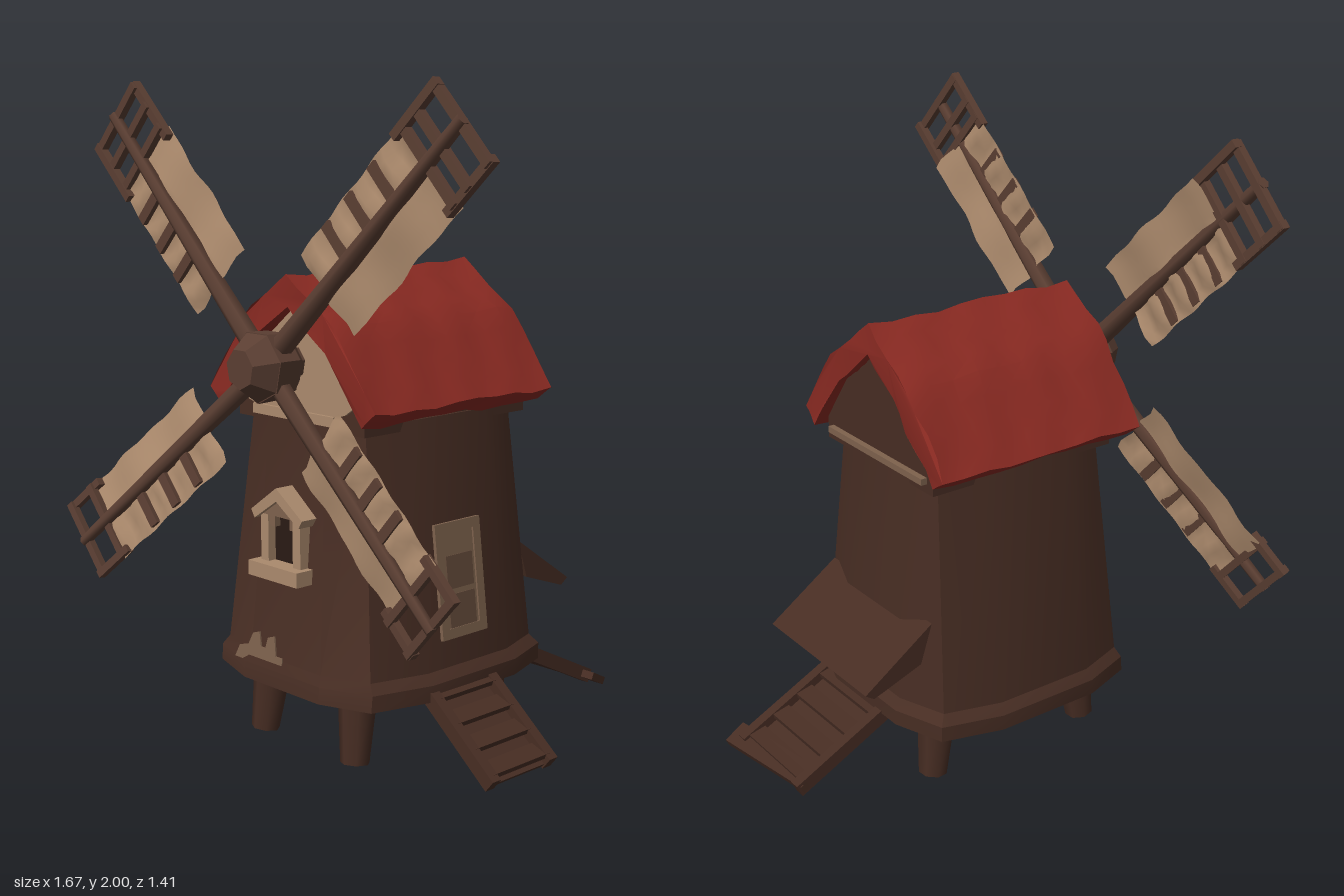
import * as THREE from 'three';
import { toCreasedNormals } from 'three/addons/utils/BufferGeometryUtils.js';

const paint = (name, color, extra = {}) => {
  const m = new THREE.MeshStandardMaterial({ color, ...extra });
  m.name = name;
  return m;
};

export function createModel() {
  const wood = paint('dark wood', 0x472d23);
  const beam = paint('beam wood', 0x5a3e32);
  const red = paint('red roof', 0x8a2a22);
  const cloth = paint('sail cloth', 0xae8c6e, { side: THREE.DoubleSide });
  const trim = paint('pale trim', 0xab8a6d);
  const worn = paint('weathered trim', 0x7e624d);
  const pane = paint('window pane', 0x644b3b);
  const dark = paint('dark opening', 0x2a1a14);

  const model = new THREE.Group();
  model.name = 'windmill';

  const add = (parent, name, geo, mat, x = 0, y = 0, z = 0) => {
    const m = new THREE.Mesh(geo, mat);
    m.name = name;
    m.position.set(x, y, z);
    parent.add(m);
    return m;
  };
  const group = (parent, name, x, y, z) => {
    const g = new THREE.Group();
    g.name = name;
    g.position.set(x, y, z);
    parent.add(g);
    return g;
  };
  const box = (w, h, d) => new THREE.BoxGeometry(w, h, d);
  const shapeOf = pts => new THREE.Shape(pts.map(p => new THREE.Vector2(...p)));
  const extrude = (pts, depth, steps = 1) =>
    new THREE.ExtrudeGeometry(shapeOf(pts), { depth, steps, bevelEnabled: false });
  const mirror = pts => [...pts, ...pts.filter(p => p[0] !== 0).reverse().map(([x, y]) => [-x, y])];

  // Body: rounded-square rings [y, half width, front z, back z]
  const rings = [[0.2, 0.36, 0.43, -0.32], [0.21, 0.4, 0.475, -0.365], [0.26, 0.4, 0.47, -0.365],
    [0.29, 0.375, 0.455, -0.34], [1.03, 0.29, 0.395, -0.3]];
  const quarter = [[1, 0.4], [0.86, 0.86], [0.45, 1]];
  const outline = [0, 1, 2, 3].flatMap(q => quarter.map(([a, b]) =>
    [[a, b], [-b, a], [-a, -b], [b, -a]][q]));
  const n = outline.length, pos = [], idx = [];
  for (const [y, hx, zf, zb] of rings)
    for (const [a, b] of outline) pos.push(a * hx, y, (zf + zb) / 2 + b * (zf - zb) / 2);
  const top = (rings.length - 1) * n;
  for (let i = 0; i < n; i++) {
    const j = (i + 1) % n;
    for (let r = 0; r < top; r += n)
      idx.push(r + i, r + n + i, r + j, r + j, r + n + i, r + n + j);
    if (i > 0 && i < n - 1) idx.push(0, i, j, top, top + j, top + i);
  }
  const bodyGeo = new THREE.BufferGeometry();
  bodyGeo.setAttribute('position', new THREE.Float32BufferAttribute(pos, 3));
  bodyGeo.setIndex(idx);
  add(model, 'body', toCreasedNormals(bodyGeo, 0.5), wood);

  // Gable walls under the roof, with a pale face at the front
  const gable = mirror([[0.28, 1.0], [0.28, 1.07], [0.165, 1.23], [0, 1.36]]);
  add(model, 'gable', extrude(gable, 0.67), wood, 0, 0, -0.29);
  const face = mirror([[0.12, 1.03], [0.22, 1.06], [0.265, 1.09], [0.16, 1.225], [0, 1.35]]);
  add(model, 'gableFace', extrude(face, 0.008), trim, 0, 0, 0.391);
  add(model, 'gableSill', box(0.36, 0.03, 0.03), trim, 0, 1.035, 0.395);
  add(model, 'backSill', box(0.5, 0.02, 0.02), worn, 0, 1.04, -0.3);

  // Roof: bent slab with gentle dents
  const outer = [[0.375, 1.08], [0.2, 1.31], [0, 1.45]];
  const inner = [[0, 1.355], [0.165, 1.235], [0.31, 1.035]];
  const slab = [...outer, ...outer.slice(0, 2).reverse().map(([x, y]) => [-x, y]),
    ...[...inner].reverse().map(([x, y]) => [-x, y]), ...inner.slice(1)];
  const dense = slab.flatMap((p, i) => {
    const q = slab[(i + 1) % slab.length];
    return [0, 0.25, 0.5, 0.75].map(t => [p[0] + (q[0] - p[0]) * t, p[1] + (q[1] - p[1]) * t]);
  });
  const roofGeo = extrude(dense, 0.745, 9);
  roofGeo.translate(0, 0, -0.32);
  const rp = roofGeo.attributes.position;
  for (let i = 0; i < rp.count; i++) {
    const x = rp.getX(i), y = rp.getY(i), z = rp.getZ(i);
    const dent = 0.008 * Math.sin(21 * x + 13 * z) + 0.007 * Math.sin(31 * z - 17 * x);
    rp.setXYZ(i, x + Math.sign(x) * dent * 0.5, y + dent * 0.7, z + 0.007 * Math.sin(29 * x + 9 * y));
  }
  add(model, 'roof', toCreasedNormals(roofGeo, 0.5), red);

  // Splayed legs
  for (const sx of [-1, 1]) for (const [z, lean] of [[0.34, 1], [-0.23, -1]]) {
    const leg = add(model, 'leg', new THREE.CylinderGeometry(0.065, 0.045, 0.25, 7), wood, sx * 0.2, 0.13, z);
    leg.rotation.set(-lean * 0.12, 0, sx * 0.06);
  }

  // Sloping step ladders at the side and the back
  const ladder = (name, x, y, z, length, width, slope, turn) => {
    const g = group(model, name, x, y, z);
    g.rotation.set(0, turn, -slope, 'YZX');
    for (const s of [-1, 1])
      add(g, 'stepRail', box(length, 0.045, 0.035), wood, length / 2, 0, s * (width / 2 - 0.017));
    add(g, 'stepBoard', box(length * 0.97, 0.012, width - 0.04), wood, length / 2, -0.012, 0);
    for (let i = 0; i < 4; i++) {
      const tread = add(g, 'tread', box(0.06, 0.016, width - 0.04), wood, length * (i + 0.5) / 4, 0.006, 0);
      tread.rotation.z = slope * 0.5;
    }
    return g;
  };
  ladder('sideSteps', 0.35, 0.25, 0.09, 0.365, 0.28, 0.68, 0);
  const back = ladder('backSteps', 0.08, 0.22, -0.31, 0.4, 0.36, 0.46, Math.PI / 2);
  const foot = add(back, 'footBoard', box(0.08, 0.025, 0.4), wood, 0.375, 0, 0.02);
  foot.rotation.y = 0.12;

  // Lean-to board over the back steps
  const lean = extrude([[0.29, 0.58], [0.33, 0.455], [0.5, 0.395], [0.53, 0.415]], 0.54);
  add(model, 'backCanopy', lean, wood, -0.27, 0, 0).rotation.y = Math.PI / 2;

  // Small framed window at the front
  const win = group(model, 'frontWindow', 0, 0, 0);
  add(win, 'windowOpening', box(0.14, 0.16, 0.008), dark, 0, 0.67, 0.428);
  for (const s of [-1, 1]) {
    add(win, 'windowPost', box(0.034, 0.17, 0.045), trim, s * 0.072, 0.67, 0.437);
    add(win, 'windowBracket', box(0.025, 0.05, 0.03), worn, s * 0.045, 0.725, 0.437);
  }
  add(win, 'windowSill', box(0.22, 0.045, 0.075), trim, 0, 0.57, 0.455);
  add(win, 'windowPediment', extrude(mirror([[0.09, 0.735], [0, 0.8]]), 0.04), worn, 0, 0, 0.42);
  const hood = [[0.115, 0.745], [0, 0.825], [-0.115, 0.745], [-0.1, 0.72], [0, 0.785], [0.1, 0.72]];
  add(win, 'windowHood', extrude(hood, 0.075), trim, 0, 0, 0.4);

  // Flush window on the side wall
  const side = group(model, 'sideWindow', 0.347, 0.545, 0.06);
  side.rotation.z = 0.115;
  add(side, 'sidePanel', box(0.008, 0.34, 0.19), worn);
  for (const s of [-1, 1]) {
    add(side, 'sideFrame', box(0.016, 0.34, 0.03), worn, 0.002, 0, s * 0.08);
    add(side, 'sideFrame', box(0.016, 0.03, 0.19), worn, 0.002, s * 0.158, 0);
    add(side, 'sidePane', box(0.012, 0.1, 0.11), pane, 0.001, s * 0.058 - 0.035, 0);
  }

  // Chipped patch low on the front wall
  const chip = [[-0.22, -0.04], [0.0, -0.04], [0.0, 0.0], [-0.03, 0.0], [-0.04, 0.06], [-0.07, 0.05],
    [-0.08, 0.015], [-0.1, 0.015], [-0.11, 0.06], [-0.14, 0.05], [-0.16, 0.01], [-0.2, 0.0]];
  add(model, 'wornPatch', extrude(chip, 0.006), worn, 0, 0.3, 0.453).rotation.x = -0.081;

  // Hub and shaft
  const hub = group(model, 'hub', 0, 1.19, 0);
  for (const [name, r1, r2, len, z] of [['shaft', 0.05, 0.05, 0.14, 0.4], ['hubBack', 0.105, 0.07, 0.04, 0.445],
    ['hubCore', 0.108, 0.105, 0.075, 0.5], ['hubNose', 0.06, 0.105, 0.065, 0.57]]) {
    const m = add(hub, name, toCreasedNormals(new THREE.CylinderGeometry(r1, r2, len, 7), 0.4), beam, 0, 0, z);
    m.rotation.x = Math.PI / 2;
  }

  // Sails: tapered spar, end lattice, half-width battens and billowing cloth
  const makeCloth = end => {
    const length = end - 0.32;
    const geo = new THREE.PlaneGeometry(length, 0.292, 16, 8);
    geo.translate(0.32 + length / 2, 0, 0);
    const p = geo.attributes.position;
    for (let i = 0; i < p.count; i++) {
      const x = p.getX(i), y = p.getY(i);
      const fold = y > 0
        ? -0.004 + 0.012 * Math.sin((x - 0.33) * 50) * Math.sin(y / 0.146 * Math.PI)
        : -0.004 + 0.16 * y + 0.006 * Math.sin(x * 21);
      p.setXYZ(i, x + 0.006 * Math.sin(y * 45), y * (1 + 0.025 * Math.sin(x * 37)), fold);
    }
    geo.computeVertexNormals();
    return geo;
  };
  const sail = (angle, tilt, scale, clothEnd, bars) => {
    const g = group(model, 'sail', 0, 1.19, 0.5);
    g.rotation.set(0, -tilt, angle * Math.PI / 180, 'ZYX');
    g.scale.setScalar(scale);
    const spar = add(g, 'spar', new THREE.CylinderGeometry(0.018, 0.034, 0.98, 6), beam, 0.53, 0, 0.004);
    spar.rotation.z = -Math.PI / 2;
    for (const s of [-1, 1])
      add(g, 'sailRail', box(1.02 - clothEnd + 0.04, 0.026, 0.026), beam,
        (0.98 + clothEnd) / 2, s * 0.132, s < 0 ? -0.014 : 0);
    for (const x of bars) add(g, 'sailBar', box(0.026, 0.285, 0.024), beam, x, 0, -0.003);
    for (const x of [0.46, 0.58, 0.7])
      add(g, 'batten', box(0.034, 0.135, 0.016), beam, x, 0.07, 0);
    add(g, 'sailCloth', makeCloth(clothEnd), cloth);
  };
  sail(43.4, -0.035, 1, 0.85, [0.85, 0.915, 1.005]);
  sail(136, -0.005, 1, 0.83, [0.83, 0.92, 1.005]);
  sail(221.5, 0.19, 0.93, 0.89, [0.89, 1.005]);
  sail(-42, 0.03, 0.925, 0.89, [0.89, 1.005]);

  return model;
}
